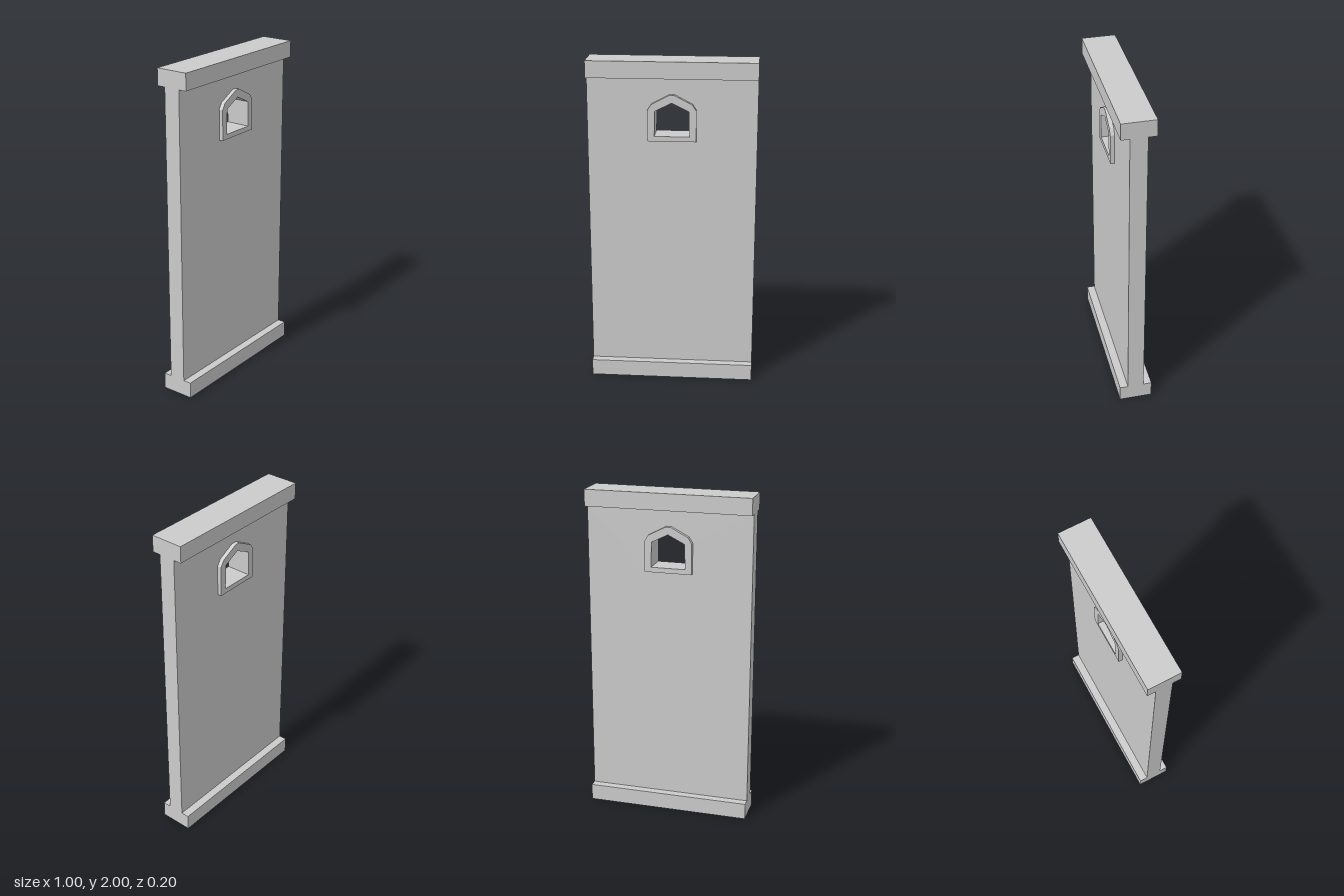
import * as THREE from 'three';

const material = new THREE.MeshStandardMaterial({ color: 0xcccccc, flatShading: true });

// Window outlines, counter-clockwise from the lower left
const frameOutline = [
  [-0.143, 1.525], [0.143, 1.525], [0.143, 1.71], [0.12, 1.746],
  [0.016, 1.8], [-0.016, 1.8], [-0.12, 1.746], [-0.143, 1.71],
];
const openingOutline = [[-0.103, 1.555], [0.103, 1.555], [0.1, 1.705], [0, 1.755], [-0.1, 1.705]];
const wallOutline = [[-0.5, 0.1], [0.5, 0.1], [0.5, 1.9], [-0.5, 1.9]];

const toPoints = (outline) => outline.map(([x, y]) => new THREE.Vector2(x, y));

// Slab with a hole, centred on z = 0
function piercedSlab(name, outline, hole, depth) {
  const shape = new THREE.Shape(toPoints(outline));
  shape.holes.push(new THREE.Path(toPoints(hole)));
  const geometry = new THREE.ExtrudeGeometry(shape, { depth, bevelEnabled: false });
  geometry.translate(0, 0, -depth / 2);
  const mesh = new THREE.Mesh(geometry, material);
  mesh.name = name;
  return mesh;
}

// Horizontal beam wider than the wall is thick
function beam(name, y) {
  const mesh = new THREE.Mesh(new THREE.BoxGeometry(1, 0.1, 0.2), material);
  mesh.position.y = y;
  mesh.name = name;
  return mesh;
}

export function createModel() {
  const model = new THREE.Group();
  model.name = 'windowWall';
  model.add(
    beam('bottomBeam', 0.05),
    beam('topBeam', 1.95),
    piercedSlab('wallPanel', wallOutline, frameOutline, 0.1),
    piercedSlab('windowFrame', frameOutline, openingOutline, 0.15),
  );
  return model;
}
